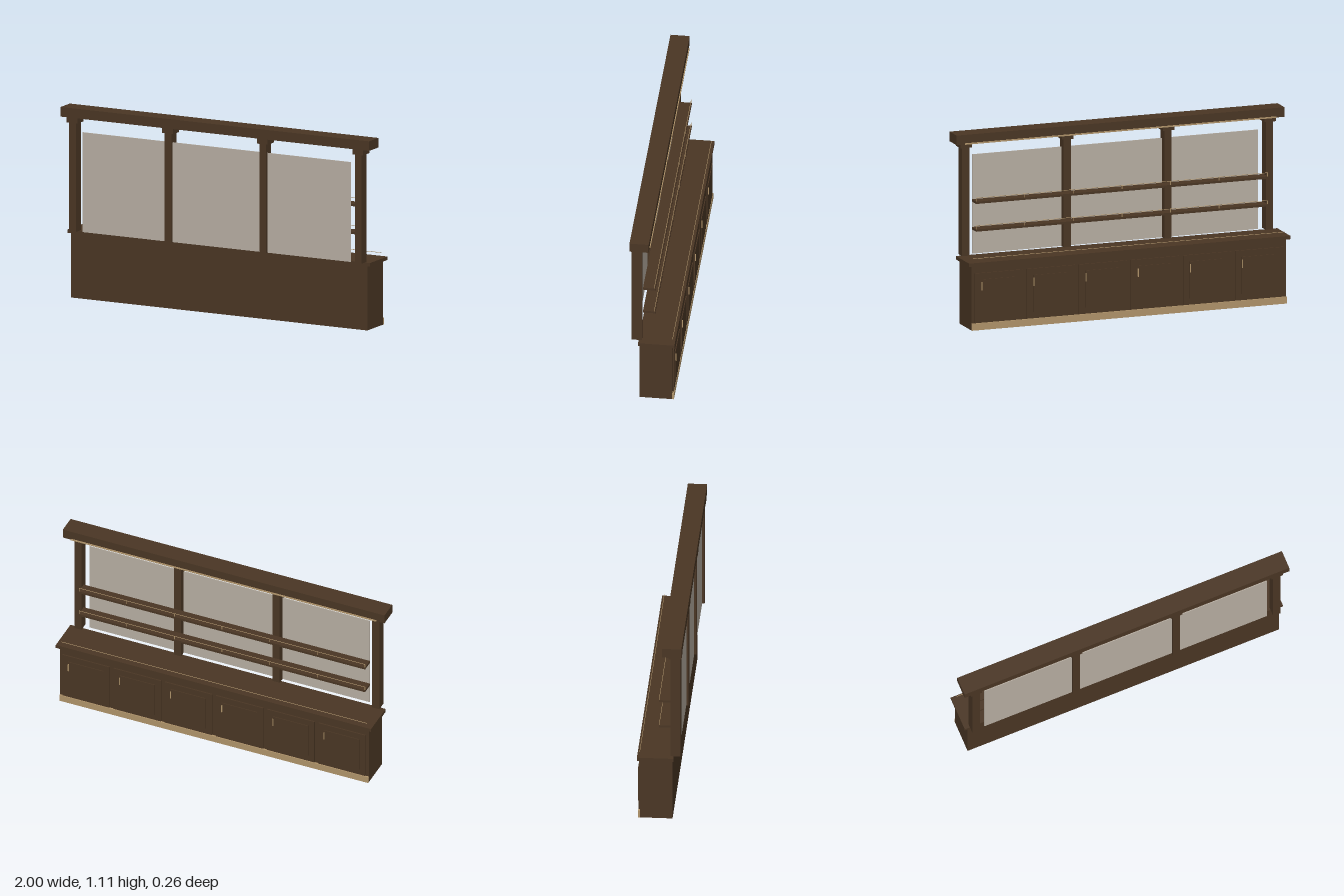
import * as THREE from 'three';

const material = (name, color) => {
  const m = new THREE.MeshStandardMaterial({ color });
  m.name = name;
  return m;
};

export function createModel() {
  const model = new THREE.Group();
  model.name = 'backBar';
  const wood = material('dark walnut', 0x4a3624);
  const panel = material('warm grey panel', 0xb8afa3);
  const brass = material('brass', 0xb0946a);

  // Box given by its limits on each axis
  const box = (name, mat, [x0, x1], [y0, y1], [z0, z1]) => {
    const mesh = new THREE.Mesh(new THREE.BoxGeometry(x1 - x0, y1 - y0, z1 - z0), mat);
    mesh.position.set((x0 + x1) / 2, (y0 + y1) / 2, (z0 + z1) / 2);
    mesh.name = name;
    model.add(mesh);
  };
  const around = (x, width) => [x - width / 2, x + width / 2];

  // Thin round rail along x
  const rail = (name, halfLength, y, z) => {
    const mesh = new THREE.Mesh(new THREE.CylinderGeometry(0.0015, 0.0015, halfLength * 2, 8), brass);
    mesh.rotation.z = Math.PI / 2;
    mesh.position.set(0, y, z);
    mesh.name = name;
    model.add(mesh);
  };

  // Base cabinet, counter and kick plate
  box('cabinet', wood, [-0.96, 0.96], [0, 0.375], [-0.11, 0.077]);
  box('counter', wood, [-0.98, 0.98], [0.375, 0.395], [-0.125, 0.083]);
  box('kickPlate', brass, [-0.96, 0.96], [0, 0.04], [-0.12, -0.11]);
  rail('counterRail', 0.95, 0.417, -0.111);

  // Six doors, each with a raised panel and a bar handle
  for (let i = 0; i < 6; i++) {
    const x = (i - 2.5) * 0.318;
    box('door', wood, around(x, 0.294), [0.043, 0.332], [-0.118, -0.11]);
    box('doorPanel', wood, around(x, 0.22), [0.08, 0.295], [-0.123, -0.118]);
    box('doorHandle', brass, around(x + 0.107, 0.005), [0.233, 0.281], [-0.128, -0.122]);
  }

  // Posts with capitals
  for (const x of [-0.926, -0.307, 0.307, 0.926]) {
    box('post', wood, around(x, 0.044), [0.395, 1.027], [0.065, 0.123]);
    box('capital', wood, around(x, 0.07), [1.027, 1.057], [0.055, 0.128]);
  }

  // Top beam with a trim strip along the back
  box('topBeam', wood, [-1, 1], [1.057, 1.113], [0.02, 0.13]);
  box('beamTrim', brass, [-0.95, 0.95], [1.056, 1.064], [0.015, 0.02]);

  // Large panel between the outer posts
  box('backPanel', panel, [-0.87, 0.87], [0.395, 0.975], [0.104, 0.109]);

  // Shelves with guard rails on small uprights
  for (const y of [0.548, 0.71]) {
    box('shelf', wood, [-0.89, 0.89], [y, y + 0.013], [-0.005, 0.065]);
    rail('shelfRail', 0.89, y + 0.034, -0.002);
    for (let i = 0; i < 7; i++) {
      box('railUpright', brass, around((i - 3) * 0.296, 0.003), [y + 0.013, y + 0.034], [-0.0035, -0.0005]);
    }
  }

  return model;
}
